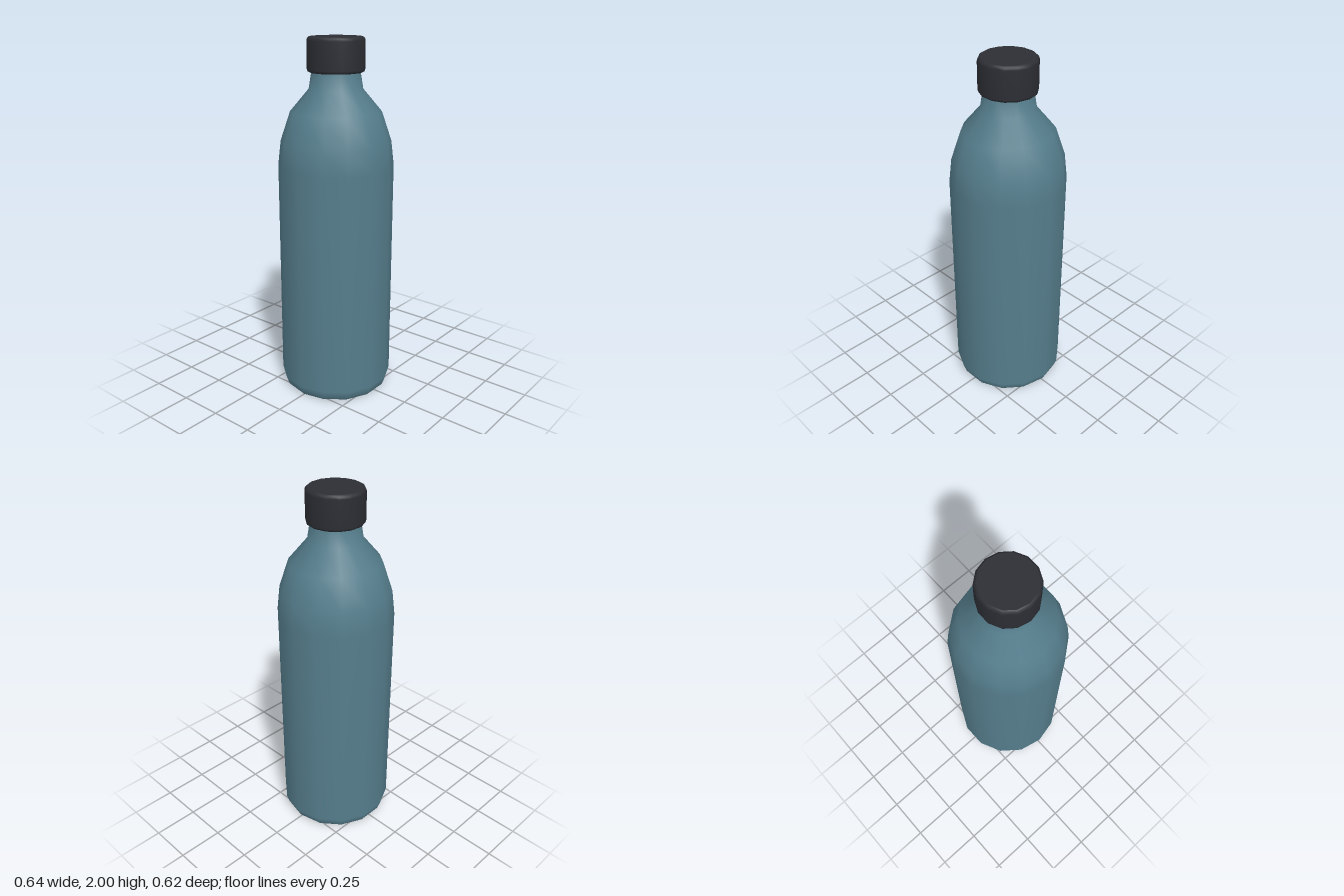
import * as THREE from 'three';

const SIDES = 14;

// Turn a [radius, height] profile, listed bottom to top, with a corner on the x axis
function turned(name, profile, material) {
  const points = profile.map(([r, y]) => new THREE.Vector2(r, y));
  const mesh = new THREE.Mesh(new THREE.LatheGeometry(points, SIDES, Math.PI / 2), material);
  mesh.name = name;
  return mesh;
}

export function createModel() {
  const model = new THREE.Group();
  model.name = 'bottle';
  const bodyMaterial = new THREE.MeshStandardMaterial({ color: 0x557d8c });
  const capMaterial = new THREE.MeshStandardMaterial({ color: 0x2c2e34 });

  // Body: rounded foot, straight wall, curved shoulder and tapering neck
  model.add(turned('body', [
    [0.292, 0], [0.304, 0.015], [0.32, 0.06], [0.32, 1.31],
    [0.304, 1.445], [0.25, 1.605], [0.147, 1.727], [0.13, 1.83],
  ], bodyMaterial));

  // Flat base, separate so its rim stays sharp
  model.add(turned('base', [[0, 0], [0.292, 0]], bodyMaterial));

  // Screw cap: bevelled side wall with flat top and underside
  const cap = new THREE.Group();
  cap.name = 'cap';
  cap.add(
    turned('capSide', [
      [0.145, 1.815], [0.152, 1.819], [0.156, 1.83],
      [0.156, 1.98], [0.152, 1.993], [0.142, 2],
    ], capMaterial),
    turned('capTop', [[0.142, 2], [0, 2]], capMaterial),
    turned('capUnderside', [[0, 1.815], [0.145, 1.815]], capMaterial),
  );
  model.add(cap);

  return model;
}
